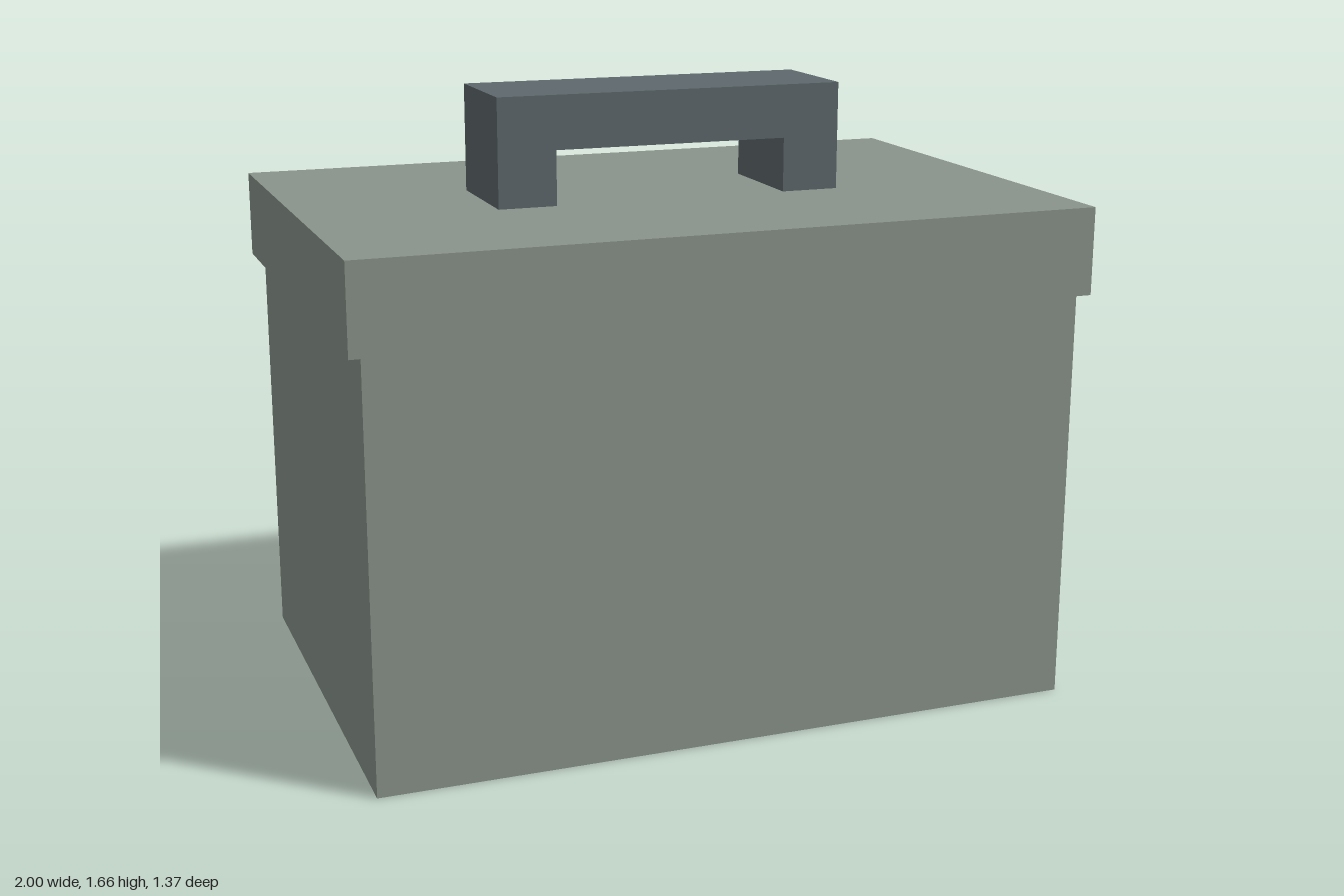
import * as THREE from 'three';

const material = (name, color) => {
  const m = new THREE.MeshStandardMaterial({ color });
  m.name = name;
  return m;
};

export function createModel() {
  const green = material('sage green', 0x8a948b);
  const slate = material('slate grey', 0x5e686c);
  const cream = material('cream', 0xcac4b8);
  const red = material('faded red', 0xb67a70);
  const model = new THREE.Group();
  model.name = 'firstAidBox';

  // Box from its extents, symmetric about x = 0
  const box = (name, mat, halfX, y0, y1, z0, z1) => {
    const mesh = new THREE.Mesh(new THREE.BoxGeometry(halfX * 2, y1 - y0, z1 - z0), mat);
    mesh.position.set(0, (y0 + y1) / 2, (z0 + z1) / 2);
    mesh.name = name;
    model.add(mesh);
  };

  // Case and overhanging lid
  box('body', green, 0.967, 0, 1.135, -0.62, 0.67);
  box('lid', green, 1, 1.135, 1.372, -0.636, 0.687);

  // Square arch handle
  const arch = new THREE.Shape([
    [-0.485, 1.372], [-0.325, 1.372], [-0.325, 1.52], [0.325, 1.52],
    [0.325, 1.372], [0.485, 1.372], [0.485, 1.665], [-0.485, 1.665],
  ].map(([x, y]) => new THREE.Vector2(x, y)));
  const handle = new THREE.Mesh(
    new THREE.ExtrudeGeometry(arch, { depth: 0.32, bevelEnabled: false }), slate);
  handle.position.z = -0.137;
  handle.name = 'handle';
  model.add(handle);

  // Badge panel with raised cross on the back
  box('badgePanel', cream, 0.485, 0.264, 1.017, -0.654, -0.62);
  box('crossUpright', red, 0.095, 0.343, 0.938, -0.677, -0.654);
  box('crossBar', red, 0.29, 0.535, 0.727, -0.686, -0.654);

  return model;
}
